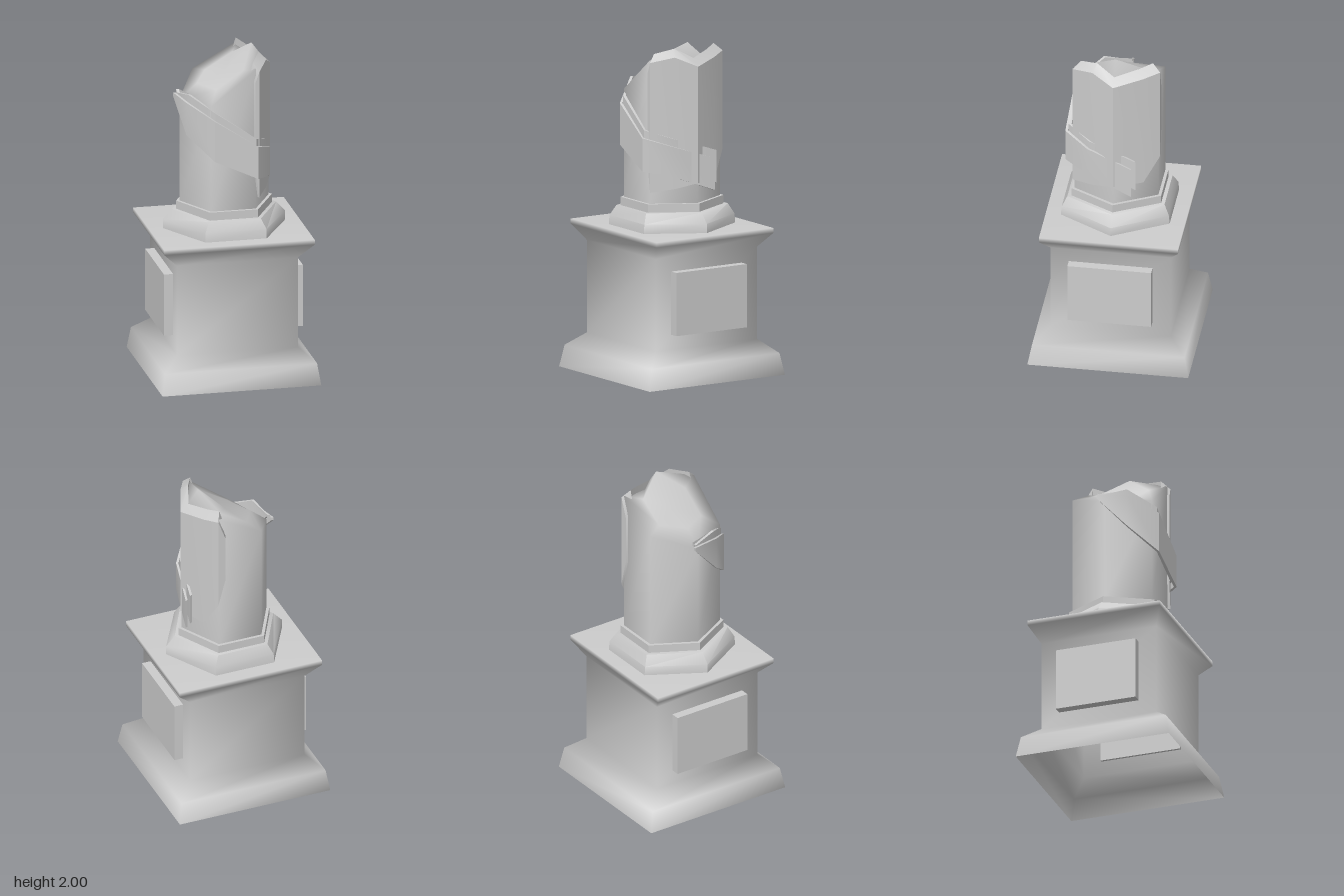
import * as THREE from 'three';
import { toCreasedNormals } from 'three/addons/utils/BufferGeometryUtils.js';

// Skin a list of closed rings; a ring of one point closes the end as a fan.
function loft(rings, crease) {
  const pos = [], idx = [], start = [];
  for (const ring of rings) {
    start.push(pos.length / 3);
    for (const p of ring) pos.push(...p);
  }
  for (let i = 0; i < rings.length - 1; i++) {
    const n = Math.max(rings[i].length, rings[i + 1].length);
    const at = (r, j) => start[r] + (j % rings[r].length);
    for (let j = 0; j < n; j++) {
      const a = at(i, j), b = at(i, j + 1), c = at(i + 1, j), d = at(i + 1, j + 1);
      if (a !== b) idx.push(a, c, b);
      if (c !== d) idx.push(b, c, d);
    }
  }
  const geo = new THREE.BufferGeometry();
  geo.setAttribute('position', new THREE.Float32BufferAttribute(pos, 3));
  geo.setIndex(idx);
  geo.computeVertexNormals();
  return crease ? toCreasedNormals(geo, crease) : geo;
}

// Ring outlines: rectangle and hexagon with half extents hx, hz
const square = (hx, hz, y) => [[hx, y, -hz], [hx, y, hz], [-hx, y, hz], [-hx, y, -hz]];
const hexagon = (hx, hz, y) => Array.from({ length: 6 }, (_, k) => {
  const a = k * Math.PI / 3;
  return [hx * Math.cos(a), Array.isArray(y) ? y[k] : y, hz * Math.sin(a) / Math.sin(Math.PI / 3)];
});

// Upright band along stations [x, z, yTop, yBottom]; the inner face is pulled toward the axis
function band(stations, inner, lip = inner, rise = 0) {
  const rings = stations.map(([x, z, top, bottom]) => [
    [x, bottom, z], [x, top, z],
    [x * lip, top + rise, z * lip], [x * inner, bottom, z * inner],
  ]);
  const middle = (r) => [[0, 1, 2].map((k) => r.reduce((s, p) => s + p[k], 0) / 4)];
  return loft([middle(rings[0]), ...rings, middle(rings[rings.length - 1])], 0.6);
}

export function createModel() {
  const group = new THREE.Group();
  const stone = new THREE.MeshStandardMaterial({ color: 0xcccccc, side: THREE.DoubleSide });
  stone.name = 'stone grey';
  const add = (name, geo) => {
    const mesh = new THREE.Mesh(geo, stone);
    mesh.name = name;
    group.add(mesh);
    return mesh;
  };

  // Square pedestal, open underneath, softly shaded around its corners
  add('pedestal', loft([
    square(0.48, 0.48, 0), square(0.46, 0.455, 0.13), square(0.365, 0.36, 0.21),
    square(0.365, 0.36, 0.765), square(0.455, 0.415, 0.855), square(0.455, 0.415, 0.885),
    [[0, 0.885, 0]],
  ]));

  // Raised plaques on both sides
  for (const side of [1, -1]) {
    const plaque = add(side > 0 ? 'leftPlaque' : 'rightPlaque', new THREE.BoxGeometry(0.07, 0.38, 0.5));
    plaque.position.set(side * 0.385, 0.49, 0);
  }

  // Hexagonal collar in two steps
  add('lowerCollar', loft([
    hexagon(0.37, 0.325, 0.88), hexagon(0.37, 0.32, 0.94), hexagon(0.315, 0.29, 1.0), [[0, 1.0, 0]],
  ], 0.9));
  add('upperCollar', loft([
    hexagon(0.29, 0.268, 0.99), hexagon(0.29, 0.268, 1.05), [[0, 1.05, 0]],
  ], 0.9));

  // Broken column with an uneven sloping top
  add('brokenColumn', loft([
    hexagon(0.27, 0.25, 1.04),
    hexagon(0.27, 0.25, [1.86, 1.91, 1.7, 1.68, 1.78, 1.93]),
    hexagon(0.165, 0.15, [2.0, 1.88, 1.77, 1.77, 1.8, 1.9]),
    [[0, 1.83, 0]],
  ]));

  // Cloth slab wrapped over one side of the column
  add('drape', band([
    [0.13, 0.262, 1.83, 1.3], [0.155, 0.26, 1.9, 1.12], [0.225, 0.13, 1.93, 1.14],
    [0.278, 0, 1.87, 1.17], [0.2, -0.17, 1.9, 1.17],
    [0.145, -0.262, 1.92, 1.33], [0.1, -0.262, 1.8, 1.5],
  ], 0.95, 0.82, 0.045));

  // Diagonal sash: a broad outer layer over a slightly higher inner layer
  const sash = [
    [-0.3, -0.04, 1.71, 1.69], [-0.26, 0.14, 1.7, 1.5], [-0.12, 0.29, 1.62, 1.37],
    [0.14, 0.305, 1.45, 1.25], [0.24, 0.16, 1.4, 1.22], [0.29, -0.11, 1.31, 1.12],
  ];
  add('sash', band(sash, 0.95));
  add('sashLining', band(sash.map(([x, z, top, bottom], i) => [
    x * 0.94, z * 0.94 - (i === 5 ? 0.03 : 0), top + (i ? 0.045 : 0), bottom + 0.04,
  ]), 0.94));

  return group;
}
